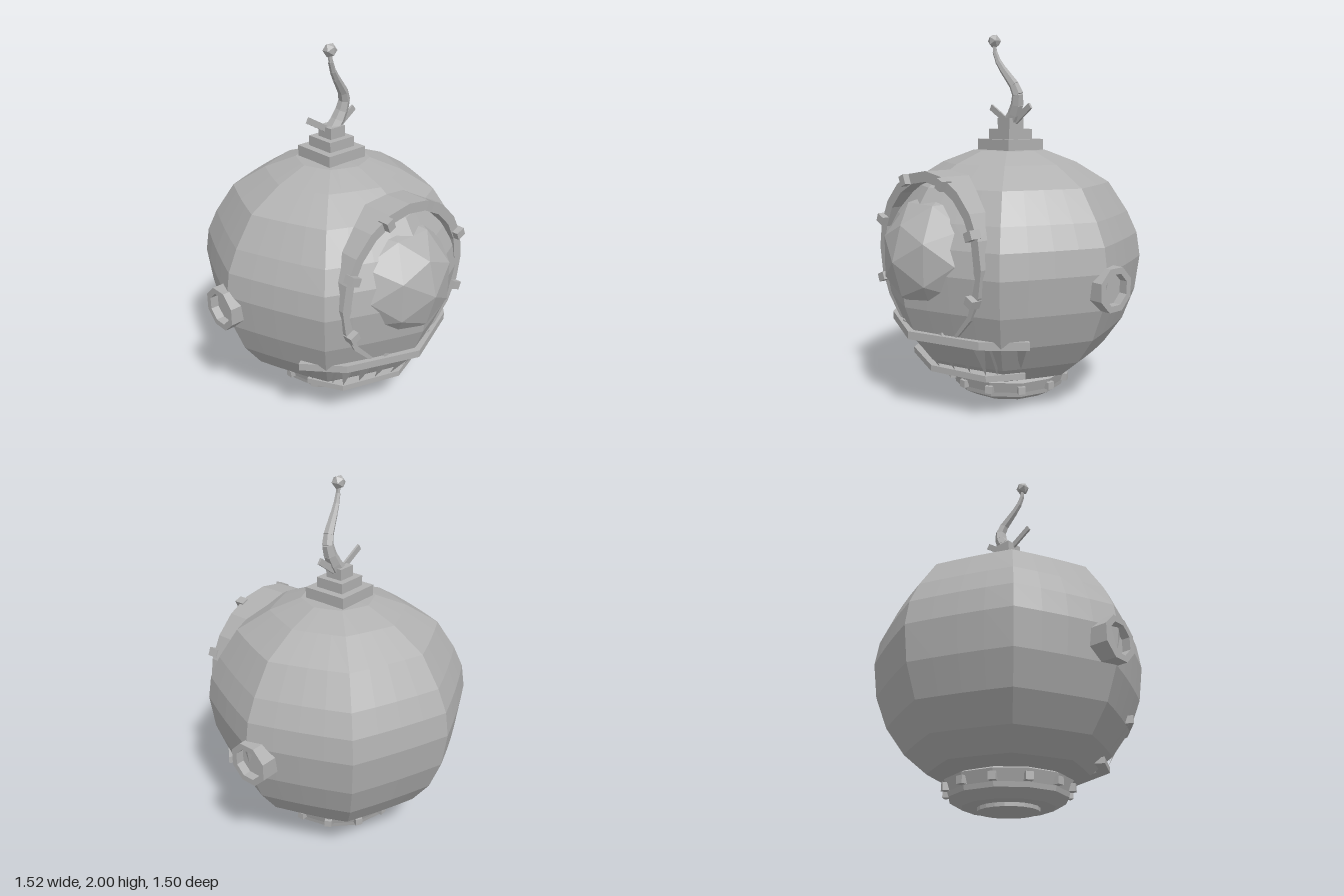
import * as THREE from 'three';

const V2 = (x, y) => new THREE.Vector2(x, y);
const V3 = (x, y, z) => new THREE.Vector3(x, y, z);
const CZ = -0.02; // z of the body's axis

export function createModel() {
  const model = new THREE.Group();
  const gray = new THREE.MeshStandardMaterial({ color: 0xb0b0b0, flatShading: true, side: THREE.DoubleSide });
  gray.name = 'gray';

  const add = (name, geo, x = 0, y = 0, z = 0, parent = model) => {
    const m = new THREE.Mesh(geo, gray);
    m.name = name;
    m.position.set(x, y, z);
    parent.add(m);
    return m;
  };
  const lathe = (pts, seg) => new THREE.LatheGeometry(pts.map(p => V2(p[0], p[1])), seg);
  const ring = (ro, ri, len, seg) => lathe([[ri, 0], [ro, 0], [ro, len], [ri, len], [ri, 0]], seg);

  // Round shell: eight slightly bowed panels meeting at sharp seams
  const shell = lathe([[0, 0.15], [0.27, 0.15], [0.42, 0.19], [0.54, 0.29], [0.64, 0.43], [0.705, 0.6],
    [0.73, 0.79], [0.71, 0.92], [0.655, 1.04], [0.55, 1.2], [0.37, 1.31], [0.2, 1.375], [0, 1.38]], 32);
  const pos = shell.attributes.position;
  const step = Math.PI / 4;
  for (let i = 0; i < pos.count; i++) {
    const x = pos.getX(i), z = pos.getZ(i);
    const a = (Math.atan2(x, z) + 2 * Math.PI) % step;
    const chord = Math.cos(step / 2) / Math.cos(a - step / 2);
    const f = chord + 0.15 * (1 - chord);
    pos.setXYZ(i, x * f, pos.getY(i), z * f);
  }
  add('shell', shell, 0, 0, CZ);

  // Neck collar with a ring of bolts
  add('neckCollar', lathe([[0, 0.02], [0.24, 0.02], [0.31, 0.06], [0.315, 0.085], [0.335, 0.145],
    [0.3, 0.16], [0, 0.16]], 12), 0, 0, CZ);
  add('neckPlug', new THREE.CylinderGeometry(0.16, 0.16, 0.04, 20), 0, 0.02, CZ);
  for (let i = 0; i < 12; i++) {
    const a = i * Math.PI / 6;
    const b = add('neckBolt', new THREE.BoxGeometry(0.04, 0.04, 0.04), 0.325 * Math.sin(a), 0.107, CZ + 0.325 * Math.cos(a));
    b.rotation.y = a;
  }

  // Window frame, bolts and faceted window bulb
  add('windowFrame', ring(0.445, 0.39, 0.21, 20).rotateX(Math.PI / 2), 0, 0.84, 0.34);
  for (let i = 0; i < 8; i++) {
    const a = (i + 0.5) * step;
    const b = add('windowBolt', new THREE.BoxGeometry(0.045, 0.055, 0.06), 0.42 * Math.sin(a), 0.84 + 0.42 * Math.cos(a), 0.555);
    b.rotation.z = -a;
  }
  add('windowBulb', new THREE.IcosahedronGeometry(0.345, 1), 0, 0.84, 0.41);

  // Side ports
  for (const s of [1, -1]) {
    const port = new THREE.Group();
    port.name = s > 0 ? 'leftPort' : 'rightPort';
    port.position.set(s * 0.62, 0.71, -0.055);
    port.rotation.z = -s * Math.PI / 2;
    model.add(port);
    add('portRim', ring(0.119, 0.085, 0.14, 8).rotateY(Math.PI / 8), 0, 0, 0, port);
    add('portGlass', new THREE.CylinderGeometry(0.088, 0.088, 0.02, 20), 0, 0.085, 0, port);
  }

  // Lower grille: two bent bars with pointed teeth between them
  const topPath = [[-0.55, 0.33], [-0.38, 0.515], [0, 0.67], [0.38, 0.515], [0.55, 0.33]];
  const lowPath = [[-0.42, 0.24], [-0.32, 0.42], [0, 0.53], [0.32, 0.42], [0.42, 0.24]];
  const bar = (name, path, y, h) => {
    const inner = path.map(([x, z]) => [x * 0.86, z * 0.86]).reverse();
    const shape = new THREE.Shape([...path, ...inner].map(([x, z]) => V2(x, -z)));
    const geo = new THREE.ExtrudeGeometry(shape, { depth: h, bevelEnabled: false }).rotateX(-Math.PI / 2);
    add(name, geo, 0, y, 0);
  };
  bar('grilleTopBar', topPath, 0.43, 0.042);
  bar('grilleLowBar', lowPath, 0.227, 0.033);
  const along = (path, t, y, k) => {
    const u = Math.min(t * 4, 3.999), i = Math.floor(u), f = u - i;
    return V3((path[i][0] + (path[i + 1][0] - path[i][0]) * f) * k, y, (path[i][1] + (path[i + 1][1] - path[i][1]) * f) * k);
  };
  const teeth = 14, corners = [];
  for (let i = 0; i < teeth; i++) {
    const t = (i + 0.5) / teeth, d = 0.36 / teeth;
    corners.push(along(topPath, t - d, 0.435, 0.97), along(lowPath, t, 0.255, 0.98), along(topPath, t + d, 0.435, 0.97));
  }
  const toothGeo = new THREE.BufferGeometry().setFromPoints(corners);
  toothGeo.computeVertexNormals();
  add('grilleTeeth', toothGeo);

  // Stepped mount on top
  [[0.255, 1.37, 1.435], [0.17, 1.435, 1.49], [0.1, 1.49, 1.55]].forEach(([w, y0, y1]) =>
    add('antennaMount', new THREE.BoxGeometry(w, y1 - y0, w), 0, (y0 + y1) / 2, -0.028));

  // Thin fins at the antenna foot
  for (const s of [1, -1]) {
    const fin = add('antennaFin', new THREE.BoxGeometry(0.16, 0.034, 0.012), s * 0.095, 1.57, -0.028);
    fin.rotation.z = s * (s > 0 ? 0.62 : 0.52);
  }

  // Crooked antenna of tapering six-sided links, with a faceted tip
  const path = new THREE.CatmullRomCurve3([V3(0.01, 1.53, -0.025), V3(0.06, 1.61, -0.02), V3(0.075, 1.69, -0.01),
    V3(0.02, 1.775, 0.01), V3(-0.03, 1.84, 0.025), V3(-0.058, 1.9, 0.033), V3(-0.064, 1.96, 0.033)]);
  const links = 9;
  for (let i = 0; i < links; i++) {
    const a = path.getPointAt(i / links), b = path.getPointAt((i + 1) / links);
    const r = 0.044 - 0.032 * i / (links - 1);
    const dir = b.clone().sub(a);
    const link = add('antennaLink', new THREE.CylinderGeometry(r * 0.85, r, dir.length() * 1.1, 6));
    link.position.copy(a).lerp(b, 0.5);
    link.quaternion.setFromUnitVectors(V3(0, 1, 0), dir.normalize());
  }
  add('antennaTip', new THREE.IcosahedronGeometry(0.038, 0), -0.064, 1.965, 0.033);

  return model;
}
